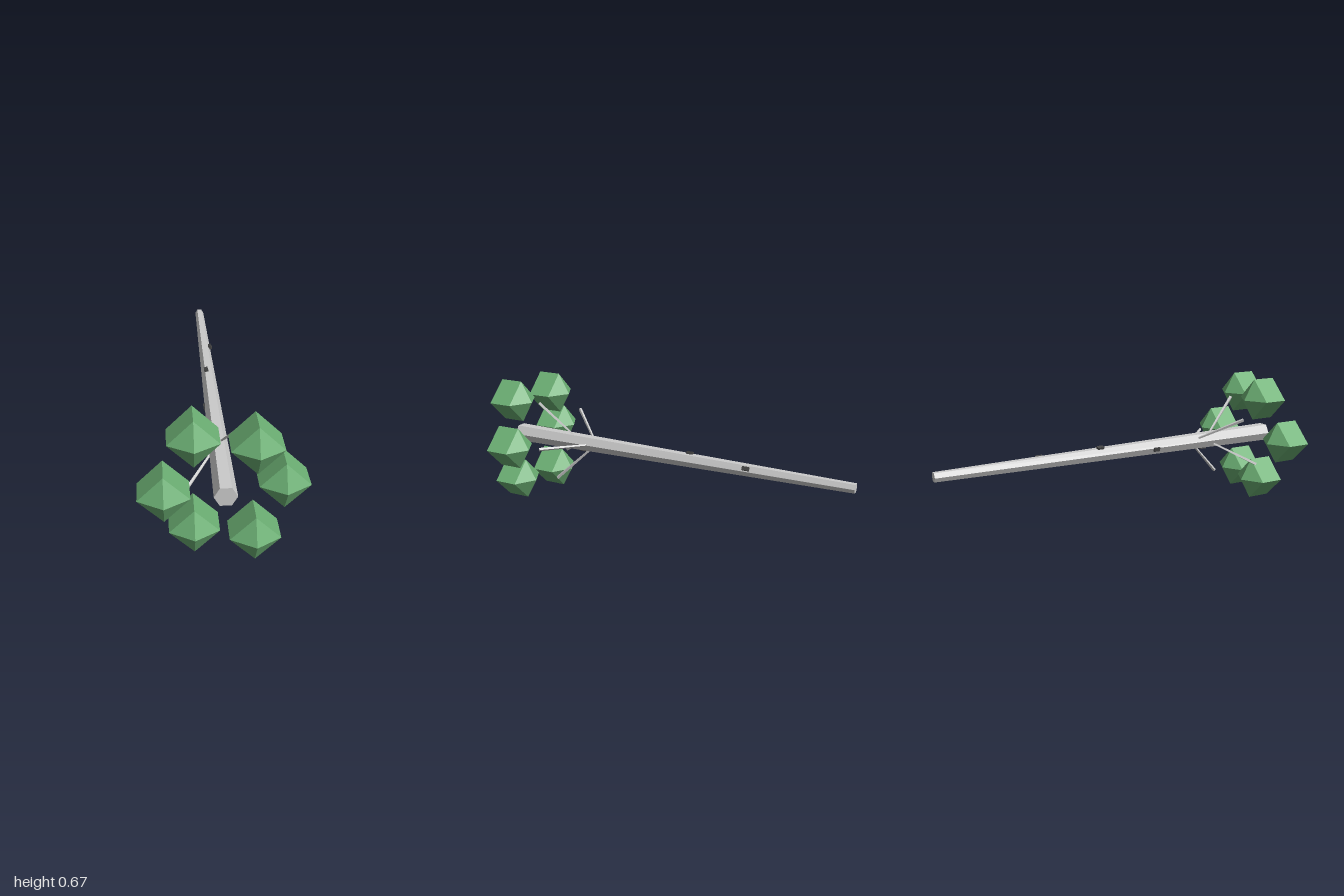
import * as THREE from 'three';

const AXIS_Y = 0.335;

function material(color) {
  return new THREE.MeshStandardMaterial({ color, flatShading: true });
}

export function createModel() {
  const model = new THREE.Group();
  const wood = material(0xcccccc);
  const leaf = material(0x6cb074);
  const dark = material(0x444444);

  // everything is arranged around the trunk axis, which lies along z
  const tree = new THREE.Group();
  tree.name = 'lyingTree';
  tree.position.y = AXIS_Y;
  model.add(tree);

  // adds a mesh turned by an angle around the trunk axis
  const addAround = (name, geometry, mat, angle, radius, z) => {
    const mesh = new THREE.Mesh(geometry, mat);
    mesh.name = name;
    mesh.position.set(Math.cos(angle) * radius, Math.sin(angle) * radius, z);
    mesh.rotation.z = angle;
    tree.add(mesh);
    return mesh;
  };

  // tapered six-sided trunk, thick end to the front
  const trunk = new THREE.CylinderGeometry(0.051, 0.025, 1.93, 6, 1, false, Math.PI / 6);
  trunk.rotateX(Math.PI / 2);
  addAround('trunk', trunk, wood, 0, 0, -0.035);

  // five thin square branches, slanting outward and forward
  const branch = new THREE.CylinderGeometry(0.0095, 0.006, 0.284, 4);
  branch.rotateX(Math.PI / 2).rotateY(Math.PI / 4);
  for (let i = 0; i < 5; i++) {
    addAround('branch', branch, wood, (i * Math.PI * 2) / 5, 0.12, 0.54 + (i % 2) * 0.1);
  }

  // ring of six faceted foliage clumps, alternating in depth
  const clump = new THREE.SphereGeometry(0.128, 4, 3).rotateX(Math.PI / 2);
  for (let i = 0; i < 6; i++) {
    const mesh = addAround('foliage', clump, leaf, (i * Math.PI) / 3, 0.258, 0.808 + (i % 2) * 0.064);
    mesh.rotation.z = 0;
  }

  // small dark knots spiralling along the trunk
  const knot = new THREE.BoxGeometry(0.018, 0.02, 0.035);
  for (let i = 0; i < 4; i++) {
    addAround('knot', knot, dark, 0.5 + i * 1.4, 0.034 + i * 0.002, -0.465 + i * 0.322);
  }

  return model;
}
